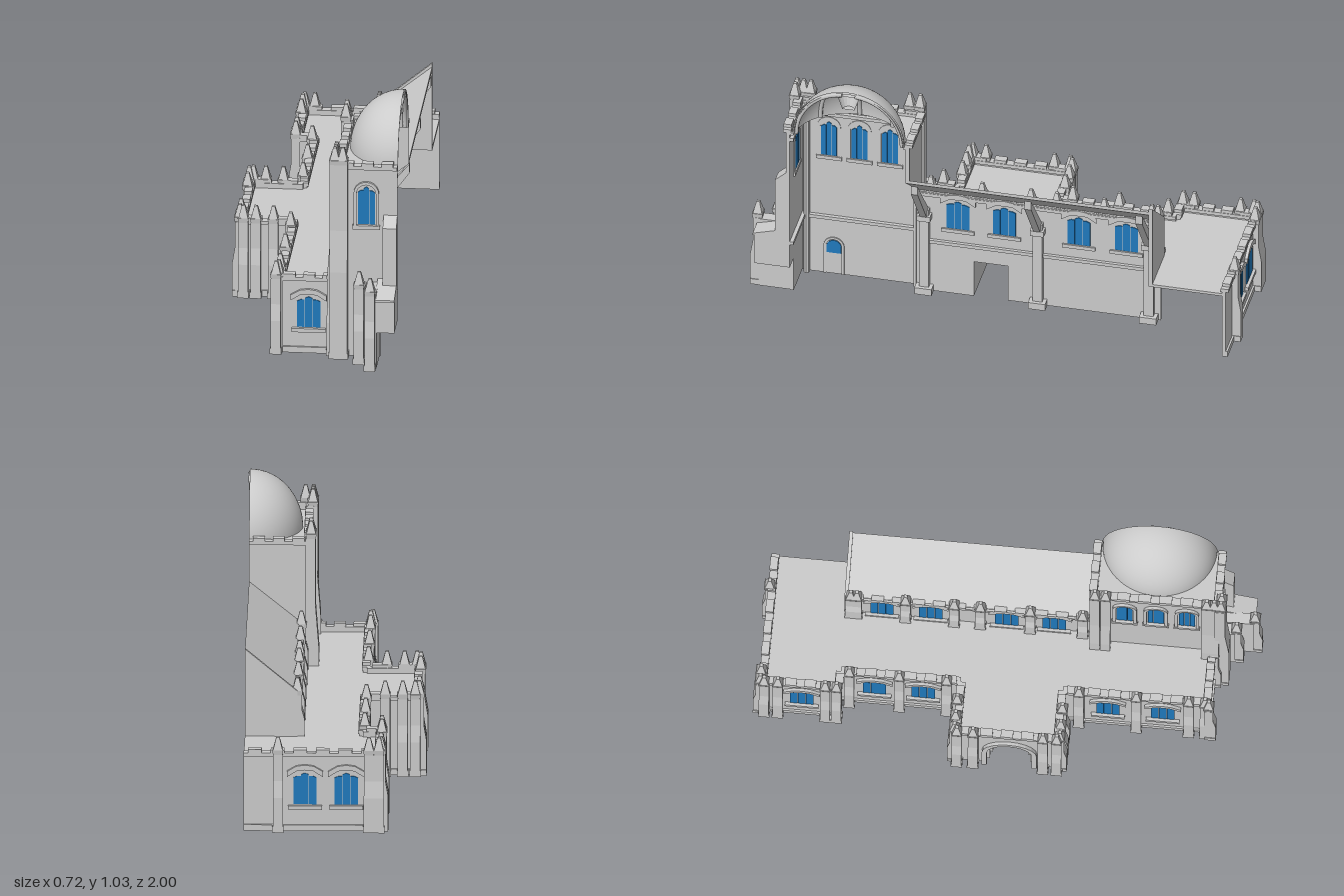
import * as THREE from 'three';

const stone = new THREE.MeshStandardMaterial({ color: 0xcccccc, flatShading: true, side: THREE.DoubleSide });
const smooth = new THREE.MeshStandardMaterial({ color: 0xcccccc, side: THREE.DoubleSide });
const glass = new THREE.MeshStandardMaterial({ color: 0x2079bd });
const CUT = 0.357; // plane on which the half building is sliced open

function add(parent, name, geo, x = 0, y = 0, z = 0, mat = stone) {
  const m = new THREE.Mesh(geo, mat);
  m.name = name;
  m.position.set(x, y, z);
  parent.add(m);
  return m;
}
// box given by its limits
function box(parent, name, x0, x1, y0, y1, z0, z1) {
  return add(parent, name, new THREE.BoxGeometry(x1 - x0, y1 - y0, z1 - z0), (x0 + x1) / 2, (y0 + y1) / 2, (z0 + z1) / 2);
}
const shapeOf = (pts) => new THREE.Shape(pts.map(([x, y]) => new THREE.Vector2(x, y)));
const extrude = (pts, depth) => new THREE.ExtrudeGeometry(shapeOf(pts), { depth, bevelEnabled: false });

// arch outline from left foot to right foot
function archPts(w, h, rise = w / 2, t = 0) {
  const pts = [[t - w / 2, 0]];
  for (let i = 0; i <= 10; i++) {
    const a = (i / 10) * Math.PI;
    pts.push([t - (w / 2) * Math.cos(a), h - rise + rise * Math.sin(a)]);
  }
  pts.push([t + w / 2, 0]);
  return pts;
}
const archRing = (w, h, b, depth) => extrude([...archPts(w + 2 * b, h + b), ...archPts(w, h).reverse()], depth);

// three lights, a sill and a hood; seen from both sides of the wall
function windowSet(g, { t, y, w = 0.095, h = 0.13, arch = false }) {
  const p = w / 3, half = p * 0.47;
  for (const i of [-1, 0, 1]) {
    const top = i ? h * 0.9 : h;
    const drop = (side) => (i === side ? 0 : h * 0.05);
    add(g, 'windowLight', extrude([[-half, 0], [half, 0], [half, top - drop(-1)], [0, top], [-half, top - drop(1)]], 0.022),
      t + i * p, y, -0.0185, glass);
  }
  box(g, 'windowSill', t - w / 2 - 0.02, t + w / 2 + 0.02, y - 0.02, y - 0.004, -0.022, 0.014);
  if (arch) {
    add(g, 'windowFrame', archRing(w + 0.008, h + 0.015, 0.012, 0.03), t, y - 0.004, -0.018);
  } else {
    const a = w / 2 + 0.025;
    add(g, 'windowHood', extrude([[-a, h - 0.015], [-a, h + 0.008], [-0.035, h + 0.03], [0, h + 0.035], [0.035, h + 0.03],
      [a, h + 0.008], [a, h - 0.015], [0.033, h + 0.01], [0, h + 0.014], [-0.033, h + 0.01]], 0.034), t, y, -0.022);
  }
}

// stepped buttress with a square pinnacle
function buttress(g, t, y0, y1, d = 0.035, w = 0.04) {
  const h = y1 - y0;
  const geo = extrude([[-0.012, y0], [d, y0], [d, y0 + 0.45 * h], [d * 0.68, y0 + 0.66 * h], [d * 0.68, y1], [-0.012, y1]], w);
  geo.rotateY(-Math.PI / 2).translate(w / 2, 0, 0);
  add(g, 'buttress', geo, t);
  const z = d * 0.68 - 0.018;
  box(g, 'buttressFoot', t - w / 2 - 0.003, t + w / 2 + 0.003, y0, y0 + 0.025, -0.01, d);
  add(g, 'pinnacleCollar', new THREE.CylinderGeometry(0.031, 0.027, 0.02, 4).rotateY(Math.PI / 4), t, y1 + 0.01, z);
  add(g, 'pinnacle', new THREE.CylinderGeometry(0.009, 0.027, 0.05, 4).rotateY(Math.PI / 4), t, y1 + 0.045, z);
}

// wall from p to q in plan, its outer face on the local +z side
function wall(parent, name, p, q, y0, y1, { bottom, windows = [], piers = [], pierY = y0, pierTop = y1 + 0.005, d, plinth = true } = {}) {
  const dx = q[0] - p[0], dz = q[1] - p[1], L = Math.hypot(dx, dz);
  const g = new THREE.Group();
  g.name = name;
  g.position.set(p[0], 0, p[1]);
  g.rotation.y = Math.atan2(-dz, dx);
  parent.add(g);
  add(g, 'wall', extrude([...(bottom ? bottom(L) : [[0, y0], [L, y0]]), [L, y1], [0, y1]], 0.015), 0, 0, -0.015);
  if (plinth && !bottom) box(g, 'plinth', 0, L, 0, 0.025, 0, 0.008);
  // parapet: moulding and merlons
  box(g, 'parapet', 0, L, y1 - 0.005, y1 + 0.01, -0.02, 0.012);
  const n = Math.max(1, Math.round(L / 0.085)), s = L / n;
  for (let i = 0; i < n; i++) box(g, 'merlon', (i + 0.2) * s, (i + 0.8) * s, y1 + 0.01, y1 + 0.024, -0.018, 0.014);
  windows.forEach((w) => windowSet(g, w));
  piers.forEach((t) => buttress(g, t, pierY, pierTop, d));
  return g;
}

export function createModel() {
  const root = new THREE.Group();
  root.name = 'halfCathedral';

  // low outer walls, walked from the back round to the front
  const T = 0.315, wy = 0.11;
  const low = (name, p, q, opt) => wall(root, name, p, q, 0, T, opt);
  low('backWall', [CUT, -0.965], [-0.185, -0.965], { piers: [0.137, 0.5, 0.54], windows: [{ t: 0.245, y: wy }, { t: 0.41, y: wy }] });
  low('backBlockSide', [-0.185, -0.965], [-0.185, -0.655], { piers: [0.01, 0.065, 0.255, 0.3], windows: [{ t: 0.16, y: wy }] });
  low('backBlockReturn', [-0.185, -0.655], [-0.115, -0.655]);
  low('rearAisleWall', [-0.115, -0.655], [-0.115, -0.175], { piers: [0.035, 0.235, 0.425], windows: [{ t: 0.135, y: wy }, { t: 0.33, y: wy }] });
  low('transeptBack', [-0.115, -0.175], [-0.325, -0.175], { piers: [0.08, 0.15, 0.2] });
  const facade = low('transeptFacade', [-0.325, -0.175], [-0.325, 0.235], {
    piers: [0.005, 0.07, 0.35, 0.405],
    bottom: (L) => [[0, 0], ...archPts(0.2, 0.24, 0.1, 0.215), [L, 0]],
  });
  low('transeptFront', [-0.325, 0.235], [-0.115, 0.235], { piers: [0.01, 0.06, 0.13] });
  low('frontAisleWall', [-0.115, 0.235], [-0.115, 0.815], { piers: [0.065, 0.295, 0.505, 0.57], windows: [{ t: 0.18, y: wy }, { t: 0.4, y: wy }] });
  low('frontWall', [-0.115, 0.815], [0.12, 0.815], { piers: [-0.015, 0.21], windows: [{ t: 0.115, y: wy }] });

  // deep side portal and the passage behind it
  add(facade, 'portalMoulding', archRing(0.18, 0.23, 0.02, 0.02), 0.215, 0, -0.006);
  add(facade, 'portalInnerArch', archRing(0.16, 0.215, 0.022, 0.02), 0.215, 0, -0.035);
  add(facade, 'portalBack', extrude([[-0.11, 0], [-0.07, 0], [-0.07, 0.165], [0.07, 0.165], [0.07, 0], [0.11, 0], [0.11, 0.26], [-0.11, 0.26]], 0.012), 0.215, 0, -0.06);
  for (const z of [-0.04, 0.11]) box(root, 'passageWall', -0.38 + 0.1, 0.15, 0, 0.17, z, z + 0.01);
  box(root, 'passageCeiling', -0.28, 0.15, 0.165, 0.175, -0.04, 0.12);

  // flat roof of aisles, transept and back block
  const plan = [[CUT, -0.96], [-0.18, -0.96], [-0.18, -0.66], [-0.11, -0.66], [-0.11, -0.17], [-0.32, -0.17], [-0.32, 0.23],
    [-0.11, 0.23], [-0.11, 0.81], [0.13, 0.81], [0.13, 0.34], [0.155, 0.34], [0.155, -0.655], [CUT, -0.655]];
  add(root, 'aisleRoof', extrude(plan.map(([x, z]) => [x, -z]), 0.012).rotateX(-Math.PI / 2), 0, 0.29, 0);

  // nave wall with upper windows and small pinnacles
  const nz = -0.655;
  wall(root, 'naveWall', [0.15, nz], [0.15, 0.33], 0, 0.465, {
    bottom: (L) => [[0, 0], [-0.03 - nz, 0], [-0.03 - nz, 0.165], [0.11 - nz, 0.165], [0.11 - nz, 0], [L, 0]],
    windows: [0.175, -0.015, -0.32, -0.515].map((z) => ({ t: z - nz, y: 0.315 })),
    piers: [-0.64, -0.615, -0.42, -0.225, -0.12, 0.08, 0.29].map((z) => z - nz), pierY: 0.3, d: 0.03, plinth: false,
  });
  add(root, 'naveRoof', extrude([[0.147, 0.465], [CUT, 0.635], [CUT, 0.65], [0.147, 0.48]], 0.98), 0, 0, -0.65);
  add(root, 'backGable', extrude([[0.147, 0.29], [CUT, 0.29], [CUT, 0.665], [0.147, 0.49]], 0.015), 0, 0, -0.665);

  // interior ledges, columns and roof struts
  box(root, 'naveLedge', 0.15, 0.178, 0.235, 0.25, nz, 0.33);
  box(root, 'naveEaves', 0.15, 0.172, 0.455, 0.47, nz, 0.33);
  for (const z of [0.31, -0.155, -0.61]) {
    box(root, 'column', 0.155, 0.19, 0, 0.4, z - 0.02, z + 0.02);
    box(root, 'columnBase', 0.155, 0.205, 0, 0.03, z - 0.035, z + 0.035);
    box(root, 'columnCapital', 0.155, 0.2, 0.35, 0.375, z - 0.028, z + 0.028);
    add(root, 'roofStrut', extrude([[0.165, 0.36], [0.19, 0.36], [CUT, 0.585], [CUT, 0.625], [0.165, 0.395]], 0.028), 0, 0, z - 0.014);
  }

  // tower
  const top = 0.81, tz = 0.33, fz = 0.835;
  const side = wall(root, 'towerSide', [0.12, tz], [0.12, fz], 0, top, {
    windows: [0.46, 0.585, 0.71].map((z) => ({ t: z - tz, y: 0.57, w: 0.065, h: 0.16, arch: true })),
    piers: [0.012, 0.055, 0.46, 0.49], pierTop: 0.83, d: 0.042, plinth: false,
  });
  add(side, 'smallDoorFrame', archRing(0.065, 0.165, 0.01, 0.026), 0.36, 0, -0.02);
  add(side, 'smallDoorGlass', extrude(archPts(0.06, 0.06), 0.02), 0.36, 0.1, -0.018, glass);
  wall(root, 'towerFront', [0.12, fz], [CUT, fz], 0, top, {
    bottom: (L) => [[0, 0], [0.168, 0], [0.168, 0.155], [L, 0.155]],
    windows: [{ t: 0.113, y: 0.57, w: 0.07, h: 0.16, arch: true }],
    piers: [-0.012, 0.02], pierTop: 0.83, d: 0.045,
  });
  wall(root, 'towerBack', [CUT, tz], [0.12, tz], 0, top, {
    bottom: (L) => [[0, 0.635], [CUT - 0.165, 0.48], [CUT - 0.165, 0], [L, 0]],
  });
  for (const y of [0.265, 0.765]) {
    box(root, 'towerLedge', 0.125, 0.15, y, y + 0.015, tz, fz);
    box(root, 'towerFrontLedge', 0.125, CUT, y, y + 0.015, fz - 0.03, fz - 0.01);
  }
  for (const z of [0.35, 0.8]) add(root, 'towerShaft', new THREE.CylinderGeometry(0.013, 0.013, 0.78, 8), 0.145, 0.39, z);

  // tower roof around the dome
  const rim = [[0.125, -tz], [CUT, -tz]];
  for (let i = 0; i <= 20; i++) {
    const a = (i / 20) * Math.PI;
    rim.push([CUT - 0.205 * Math.sin(a), -0.58 + 0.225 * Math.cos(a)]);
  }
  rim.push([CUT, -fz], [0.125, -fz]);
  add(root, 'towerRoof', extrude(rim, 0.012).rotateX(-Math.PI / 2), 0, 0.795, 0);

  // half dome with ribs and a boss inside
  const dome = new THREE.Group();
  dome.name = 'dome';
  dome.position.set(CUT, 0.8, 0.58);
  root.add(dome);
  for (const [name, k] of [['domeShell', 1], ['domeLining', 0.965]]) {
    add(dome, name, new THREE.SphereGeometry(1, 32, 16, -Math.PI / 2, Math.PI, 0, Math.PI / 2), 0, 0, 0, smooth).scale.set(0.212 * k, 0.235 * k, 0.23 * k);
  }
  for (const phi of [-1.5, -0.75, 0, 0.75, 1.5]) {
    const pts = [];
    for (let i = 0; i <= 10; i++) {
      const a = (i / 10) * 1.45;
      pts.push(new THREE.Vector3(-0.2 * Math.cos(a) * Math.cos(phi), 0.222 * Math.sin(a), 0.217 * Math.cos(a) * Math.sin(phi)));
    }
    add(dome, 'domeRib', new THREE.TubeGeometry(new THREE.CatmullRomCurve3(pts), 16, 0.009, 6), 0, 0, 0, smooth);
  }
  add(dome, 'domeBoss', new THREE.CylinderGeometry(0.045, 0.025, 0.06, 8, 1, false, Math.PI, Math.PI), 0, 0.185, 0);

  // front porch with sloping roof, stepped piers and the block above
  const slope = (name, x0, x1, pts) => add(root, name, extrude(pts, x1 - x0).rotateY(-Math.PI / 2), x1, 0, 0);
  slope('porchHead', 0.283, CUT, [[fz, 0.155], [0.965, 0.155], [0.965, 0.29], [fz, 0.325]]);
  slope('porchRoof', 0.278, CUT, [[fz, 0.325], [0.972, 0.288], [0.972, 0.298], [fz, 0.337]]);
  box(root, 'porchSide', 0.27, 0.285, 0, 0.3, fz, 0.96);
  slope('upperBlock', 0.302, CUT, [[fz, 0.325], [0.88, 0.325], [0.88, 0.57], [fz, 0.61]]);
  for (const [x, z] of [[0.21, 0.895], [0.26, 0.965]]) {
    box(root, 'porchPier', x - 0.023, x + 0.023, 0, 0.32, fz, z);
    const g = new THREE.Group();
    g.name = 'porchButtress';
    g.position.set(x, 0, z);
    buttress(g, 0, 0, 0.32);
    root.add(g);
  }
  return root;
}
